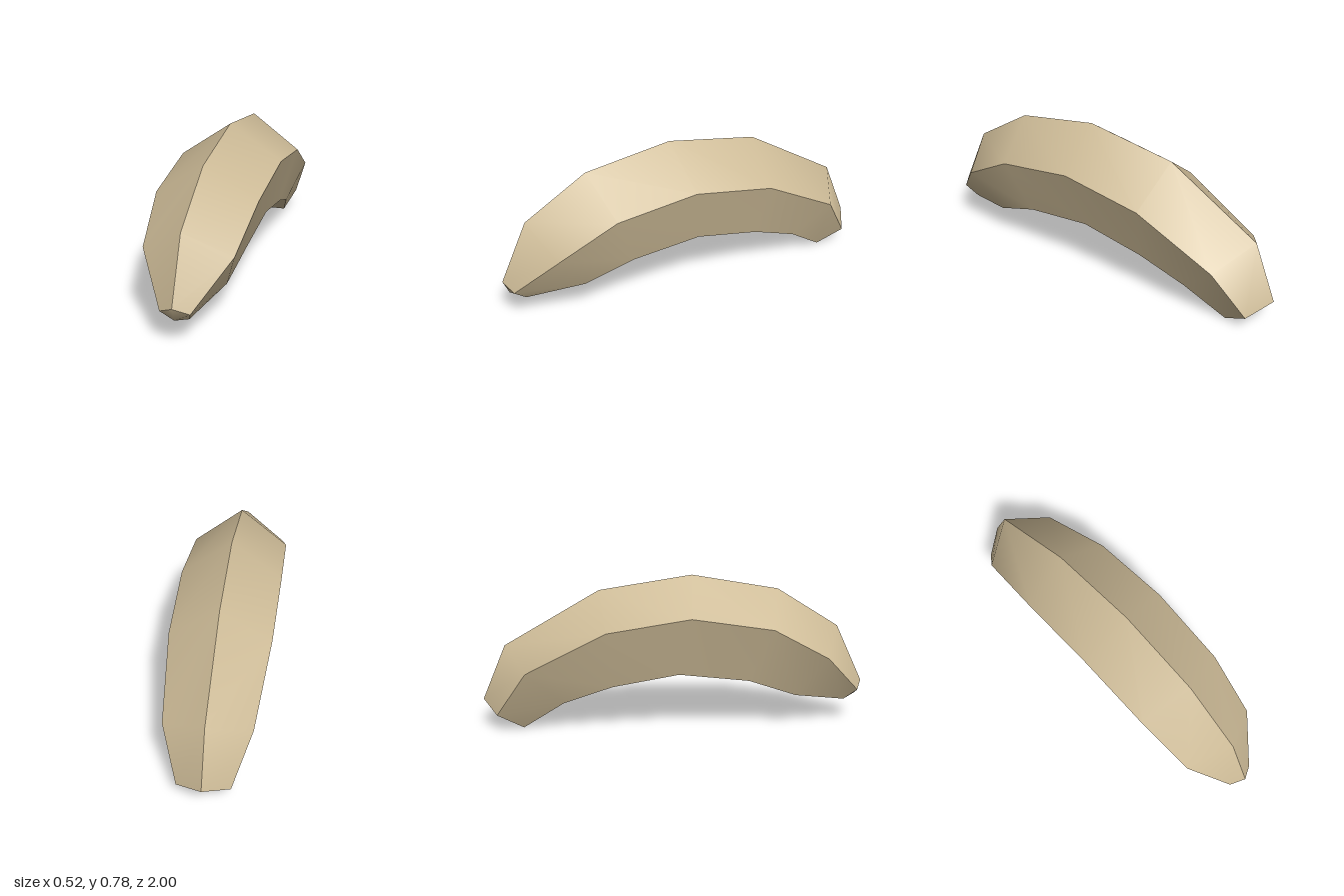
import * as THREE from 'three';
import { mergeGeometries } from 'three/addons/utils/BufferGeometryUtils.js';

// Each section: ridge [x,y,z], side corners [xLow,xHigh,y,z], base corners [xLow,xHigh,y,z]
const sections = [
  { ridge: [-0.01, 0.205, 1.0], side: [-0.08, 0.062, 0.17, 0.965], base: [-0.05, 0.036, 0.112, 0.9] },
  { ridge: [-0.01, 0.505, 0.86], side: [-0.223, 0.208, 0.375, 0.77], base: [-0.14, 0.13, 0.165, 0.62] },
  { ridge: [-0.005, 0.705, 0.54], side: [-0.258, 0.245, 0.535, 0.48], base: [-0.17, 0.163, 0.255, 0.37] },
  { ridge: [0.0, 0.782, 0.09], side: [-0.26, 0.258, 0.598, 0.065], base: [-0.172, 0.172, 0.296, 0.01] },
  { ridge: [0.003, 0.708, -0.39], side: [-0.248, 0.257, 0.53, -0.36], base: [-0.16, 0.172, 0.235, -0.33] },
  { ridge: [0.01, 0.425, -0.88], side: [-0.2, 0.228, 0.32, -0.765], base: [-0.125, 0.155, 0.145, -0.58] },
  { ridge: [0.015, 0.14, -1.0], side: [-0.112, 0.147, 0.085, -0.92], base: [-0.063, 0.098, 0.002, -0.79] },
];

// Five corners, counter-clockwise seen from the front
const rings = sections.map(({ ridge, side: s, base: b }) => [
  ridge, [s[0], s[2], s[3]], [b[0], b[2], b[3]], [b[1], b[2], b[3]], [s[1], s[2], s[3]],
]);

function surface(points, index) {
  const g = new THREE.BufferGeometry();
  g.setAttribute('position', new THREE.Float32BufferAttribute(points.flat(), 3));
  g.setIndex(index);
  g.computeVertexNormals();
  return g;
}

// One lengthwise face, smooth along its length and creased at its long edges
function strip(j) {
  const points = [], index = [];
  rings.forEach((ring, i) => {
    points.push(ring[j], ring[(j + 1) % 5]);
    if (i < rings.length - 1) {
      const a = 2 * i;
      index.push(a, a + 2, a + 1, a + 1, a + 2, a + 3);
    }
  });
  return surface(points, index);
}

// Slightly domed end with a smooth fan
function cap(ring, centre, front) {
  const index = [];
  for (let j = 0; j < 5; j++) {
    const a = j + 1, b = ((j + 1) % 5) + 1;
    index.push(0, ...(front ? [a, b] : [b, a]));
  }
  return surface([centre, ...ring], index);
}

export function createModel() {
  const group = new THREE.Group();
  group.name = 'curvedFruit';
  const skin = new THREE.MeshStandardMaterial({ color: 0xcdbb97 });
  skin.name = 'tan skin';

  const add = (name, geometry) => {
    const mesh = new THREE.Mesh(geometry, skin);
    mesh.name = name;
    group.add(mesh);
  };

  add('body', mergeGeometries([0, 1, 2, 3, 4].map(strip)));
  add('frontTip', cap(rings[0], [-0.01, 0.135, 0.97], true));
  add('backTip', cap(rings[rings.length - 1], [0.016, 0.025, -0.875], false));
  return group;
}
